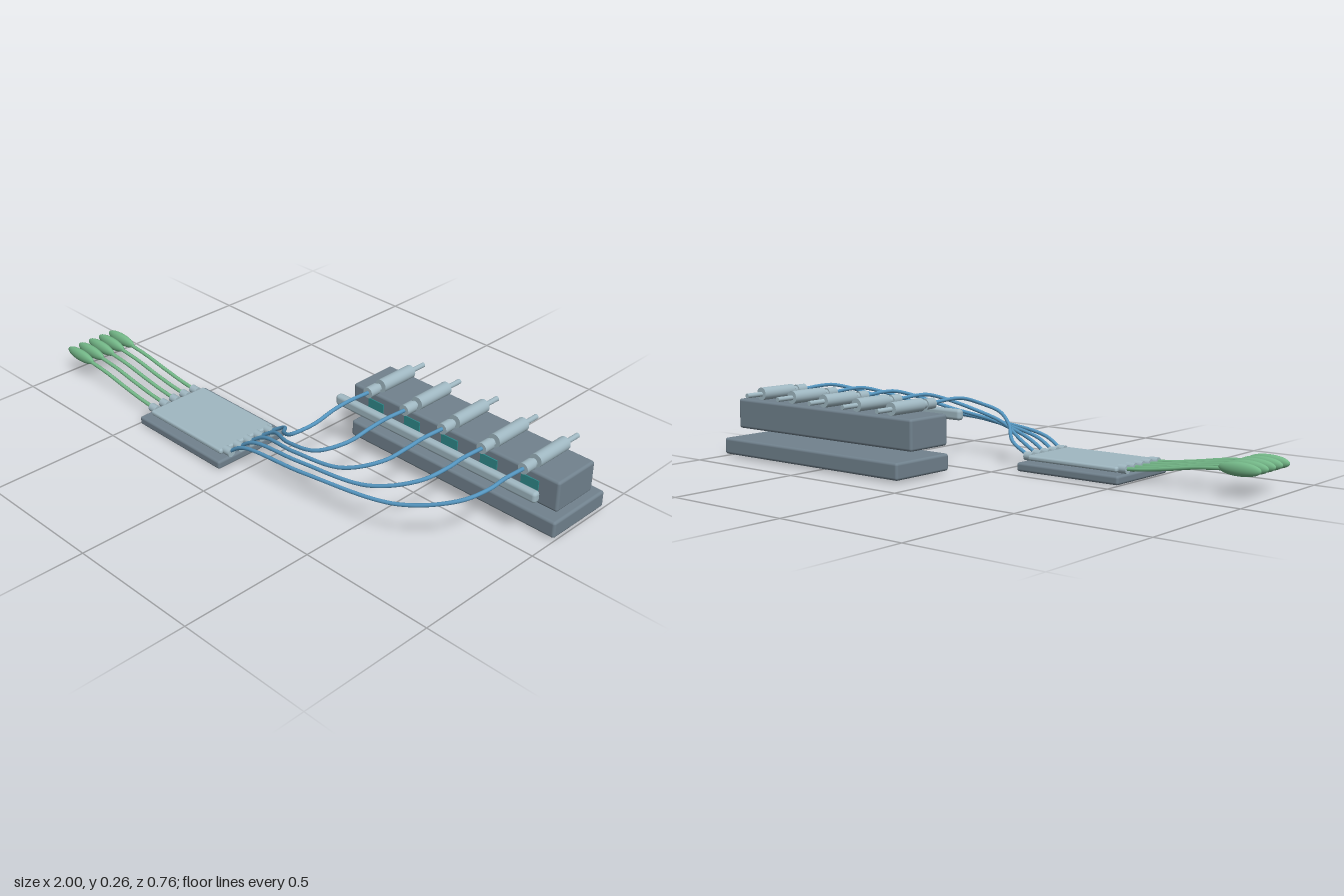
import * as THREE from 'three';
import { RoundedBoxGeometry } from 'three/addons/geometries/RoundedBoxGeometry.js';

const mat = (name, color) => {
  const m = new THREE.MeshStandardMaterial({ color });
  m.name = name;
  return m;
};

export function createModel() {
  const root = new THREE.Group();
  root.name = 'probeAssembly';
  const slate = mat('slate', 0x71828e);
  const steel = mat('paleSteel', 0xa0b8c2);
  const blue = mat('cableBlue', 0x5596c0);
  const green = mat('leadGreen', 0x74b888);
  const teal = mat('portTeal', 0x2f8a8c);

  const add = (name, geo, material, parent = root) => {
    const mesh = new THREE.Mesh(geo, material);
    mesh.name = name;
    parent.add(mesh);
    return mesh;
  };
  // Rounded box given by its extents
  const box = (name, [x0, x1], [y0, y1], [z0, z1], r, material) => {
    const mesh = add(name, new RoundedBoxGeometry(x1 - x0, y1 - y0, z1 - z0, 3, r), material);
    mesh.position.set((x0 + x1) / 2, (y0 + y1) / 2, (z0 + z1) / 2);
  };
  // Cylinder along z, from z0 to z1
  const rodZ = (name, x, y, z0, z1, r, material, parent) => {
    const geo = new THREE.CylinderGeometry(r, r, z1 - z0, 24).rotateX(Math.PI / 2);
    add(name, geo, material, parent).position.set(x, y, (z0 + z1) / 2);
  };
  const tube = (name, points, r, material, parent) => {
    const curve = new THREE.CatmullRomCurve3(points.map((p) => new THREE.Vector3(...p)));
    add(name, new THREE.TubeGeometry(curve, 72, r, 10), material, parent);
  };

  // Small module: base and raised cover plate
  box('moduleBase', [-0.495, -0.06], [0, 0.032], [0.067, 0.378], 0.009, slate);
  box('moduleCover', [-0.468, -0.085], [0.037, 0.056], [0.098, 0.348], 0.008, steel);

  // Large unit: base, block and front rail
  box('unitBase', [0.105, 1.0], [0.008, 0.07], [-0.378, -0.108], 0.01, slate);
  box('unitBlock', [0.1, 0.993], [0.1, 0.213], [-0.31, -0.121], 0.01, slate);
  box('frontRail', [0.115, 0.98], [0.177, 0.217], [-0.042, -0.012], 0.012, steel);

  const lerp = THREE.MathUtils.lerp;
  const bendZ = [0.205, 0.235, 0.258, 0.285, 0.32];
  for (let i = 0; i < 5; i++) {
    const t = i / 4;
    const z = lerp(0.128, 0.321, t);
    const x = lerp(0.21, 0.881, t);
    const channel = new THREE.Group();
    channel.name = 'channel' + (i + 1);
    root.add(channel);

    // Sockets at both ends of the module
    for (const sx of [-0.478, -0.073]) {
      const geo = new THREE.CylinderGeometry(0.016, 0.016, 0.034, 20).rotateZ(Math.PI / 2);
      add('moduleSocket', geo, steel, channel).position.set(sx, 0.048, z);
    }

    // Green lead with its bulb
    tube('greenLead', [[-0.48, 0.048, z], [-0.56, 0.055, z], [-0.66, 0.069, z],
      [-0.76, 0.085, z], [-0.87, 0.095, z]], 0.007, green, channel);
    const bulb = add('bulb', new THREE.SphereGeometry(1, 28, 18).rotateZ(Math.PI / 2), green, channel);
    bulb.scale.set(0.078, 0.024, 0.017);
    bulb.position.set(-0.922, 0.098, z);

    // Blue cable sweeping up to the unit
    tube('blueCable', [
      [-0.07, 0.048, z],
      [0.0, 0.092, z - 0.003],
      [lerp(0.085, 0.3, t), lerp(0.142, 0.13, t), bendZ[i]],
      [lerp(0.155, 0.66, t), lerp(0.18, 0.158, t), lerp(0.235, 0.265, t)],
      [x - lerp(0.01, 0.045, t), 0.213, 0.175],
      [x, 0.238, 0.09],
      [x, 0.242, 0.02],
      [x, 0.237, -0.08],
    ], 0.0068, blue, channel);

    // Plug, collar, barrel and tail rod
    rodZ('plug', x, 0.237, -0.118, -0.075, 0.02, steel, channel);
    rodZ('plugCollar', x, 0.237, -0.13, -0.117, 0.015, steel, channel);
    rodZ('barrel', x, 0.238, -0.293, -0.14, 0.024, steel, channel);
    rodZ('tailRod', x, 0.237, -0.363, -0.292, 0.009, steel, channel);

    // Port plate on the block's face
    add('portPlate', new THREE.BoxGeometry(0.07, 0.036, 0.006), teal, channel)
      .position.set(x, 0.168, -0.12);
  }
  return root;
}
